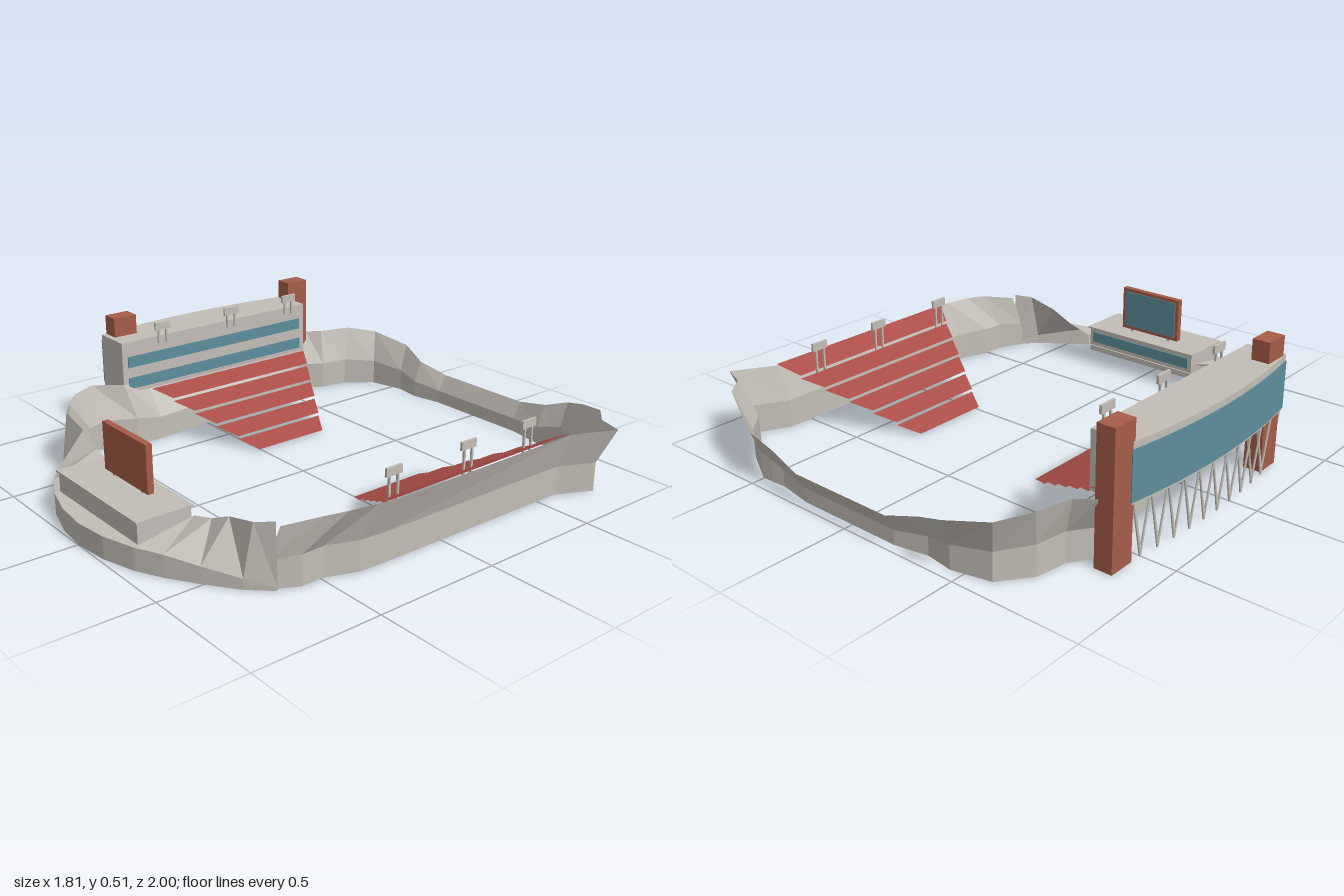
import * as THREE from 'three';

const paint = (name, color) => {
  const m = new THREE.MeshStandardMaterial({ color, side: THREE.DoubleSide });
  m.name = name;
  return m;
};

export function createModel() {
  const model = new THREE.Group();
  model.name = 'stadium';
  const concrete = paint('concrete', 0xc2bdb6);
  const brick = paint('brick', 0xa65d48);
  const glass = paint('glass', 0x5c8e9b);
  const seat = paint('seatRed', 0xab4d48);

  const add = (name, geometry, material, parent = model) => {
    const mesh = new THREE.Mesh(geometry, material);
    mesh.name = name;
    parent.add(mesh);
    return mesh;
  };
  const group = (name) => {
    const g = new THREE.Group();
    g.name = name;
    model.add(g);
    return g;
  };
  // box given by its min and max on each axis
  const box = (name, [x0, x1], [y0, y1], [z0, z1], material, parent) => {
    const mesh = add(name, new THREE.BoxGeometry(x1 - x0, y1 - y0, z1 - z0), material, parent);
    mesh.position.set((x0 + x1) / 2, (y0 + y1) / 2, (z0 + z1) / 2);
    return mesh;
  };
  // faceted open surface through a list of cross-sections
  const ribbon = (sections) => {
    const p = [];
    for (let i = 0; i + 1 < sections.length; i++) {
      const a = sections[i], b = sections[i + 1];
      for (let j = 0; j + 1 < a.length; j++) {
        p.push(...a[j], ...b[j], ...b[j + 1], ...a[j], ...b[j + 1], ...a[j + 1]);
      }
    }
    const g = new THREE.BufferGeometry();
    g.setAttribute('position', new THREE.Float32BufferAttribute(p, 3));
    g.computeVertexNormals();
    return g;
  };
  // thin round bar between two points
  const bar = (name, a, b, r, material, parent) => {
    const from = new THREE.Vector3(...a), to = new THREE.Vector3(...b);
    const dir = to.clone().sub(from);
    const mesh = add(name, new THREE.CylinderGeometry(r, r, dir.length(), 6), material, parent);
    mesh.position.copy(from).add(to).multiplyScalar(0.5);
    mesh.quaternion.setFromUnitVectors(new THREE.Vector3(0, 1, 0), dir.normalize());
    return mesh;
  };

  // bowl wall: top x, top z, top y, foot x, foot z
  const wall = [
    [0.69, 0.65, 0.23, 0.66, 0.68], [0.76, 0.53, 0.255, 0.71, 0.58],
    [0.79, 0.45, 0.26, 0.71, 0.49], [0.81, 0.34, 0.26, 0.755, 0.37],
    [0.814, 0.26, 0.255, 0.76, 0.27], [0.814, -0.61, 0.255, 0.77, -0.6],
    [0.9, -0.775, 0.26, 0.84, -0.74], [0.8, -0.81, 0.26, 0.745, -0.77],
    [0.73, -0.89, 0.26, 0.655, -0.865], [0.61, -0.945, 0.235, 0.505, -0.945],
    [0.495, -0.99, 0.2, 0.45, -0.945], [0.39, -0.98, 0.16, 0.39, -0.94],
    [0.24, -1, 0.126, 0.24, -0.965], [-0.205, -1, 0.126, -0.205, -0.965],
    [-0.34, -0.975, 0.16, -0.34, -0.94], [-0.465, -1, 0.205, -0.45, -0.955],
    [-0.635, -0.955, 0.24, -0.6, -0.92], [-0.715, -0.85, 0.26, -0.685, -0.81],
    [-0.75, -0.715, 0.26, -0.705, -0.69], [-0.805, -0.665, 0.255, -0.765, -0.6],
    [-0.77, -0.5, 0.215, -0.72, -0.5], [-0.74, 0.25, 0.215, -0.64, 0.25],
    [-0.69, 0.39, 0.255, -0.645, 0.36], [-0.76, 0.5, 0.26, -0.7, 0.49],
    [-0.72, 0.6, 0.255, -0.67, 0.57], [-0.665, 0.66, 0.245, -0.665, 0.66],
  ];
  add('bowlWall', ribbon(wall.map(([tx, tz, ty, bx, bz]) =>
    [[bx, 0, bz], [bx, ty * 0.45, bz], [tx, ty, tz]])), concrete);

  // front terrace: half-width, rim z, rim y, inner half-width, inner z, inner y
  const half = [
    [0.676, 0.66, 0.012, 0.67, 0.66, 0.245], [0.6, 0.74, 0.04, 0.61, 0.705, 0.235],
    [0.485, 0.825, 0.065, 0.48, 0.705, 0.205], [0.375, 0.895, 0.085, 0.38, 0.705, 0.16],
    [0.275, 0.945, 0.087, 0.275, 0.705, 0.13], [0.27, 0.947, 0.087, 0.27, 0.705, 0.087],
    [0.14, 0.985, 0.087, 0.14, 0.705, 0.087], [0, 1, 0.087, 0, 0.705, 0.087],
  ];
  const terrace = (s) => ([w, z, y, iw, iz, iy]) =>
    [[0.01 + s * w, 0, z], [0.01 + s * w, y, z], [0.01 + s * iw, iy, iz]];
  for (const s of [-1, 1]) {
    add(s < 0 ? 'rightTerrace' : 'leftTerrace', ribbon(half.map(terrace(s))), concrete);
  }

  // clubhouse on the terrace
  const club = group('clubhouse');
  box('clubhouseBody', [-0.257, 0.278], [0.06, 0.165], [0.712, 0.925], concrete, club);
  box('clubhouseRoof', [-0.263, 0.287], [0.165, 0.172], [0.705, 0.932], concrete, club);
  box('clubhouseWindow', [-0.24, 0.26], [0.105, 0.15], [0.707, 0.713], glass, club);

  // scoreboard
  const board = group('scoreboard');
  box('boardFrame', [-0.14, 0.148], [0.183, 0.367], [0.775, 0.8], brick, board);
  box('boardScreen', [-0.125, 0.133], [0.197, 0.353], [0.771, 0.776], glass, board);
  for (const x of [-0.09, 0.1]) {
    box('boardLeg', [x - 0.006, x + 0.006], [0.17, 0.185], [0.78, 0.794], concrete, board);
  }

  // side stands: stepped rows without risers
  const lerp = THREE.MathUtils.lerp;
  const ROWS = 6, GAP = 0.013;
  for (const [name, top, low] of [['leftStand', 0.814, 0.318], ['rightStand', -0.785, -0.27]]) {
    const stand = group(name);
    const row = (t, drop) => {
      const x = lerp(top, low, t), y = lerp(0.262, 0.006, t) - drop;
      return [[x, y, lerp(0.3, 0.01, t)], [x, y, lerp(-0.615, -0.325, t)]];
    };
    for (let i = 0; i < ROWS; i++) {
      add('seatRow', ribbon([row(i / ROWS, i ? GAP : 0), row((i + 1) / ROWS, 0)]), seat, stand);
    }
  }

  // press box with a bowed outer side
  const press = group('pressBox');
  const Z0 = -0.565, Z1 = 0.385, ZC = (Z0 + Z1) / 2, H = (Z1 - Z0) / 2;
  const bowX = (z) => -0.86 - 0.042 * (1 - ((z - ZC) / H) ** 2);
  const bow = (n, off) => Array.from({ length: n + 1 }, (_, i) => {
    const z = lerp(Z0, Z1, i / n);
    return new THREE.Vector2(bowX(z) - off, -z);
  });
  const slab = (points, y0, y1) => {
    const g = new THREE.ExtrudeGeometry(new THREE.Shape(points), { depth: y1 - y0, bevelEnabled: false });
    return g.rotateX(-Math.PI / 2).translate(0, y0, 0);
  };
  add('pressBoxBody', slab([...bow(16, 0), new THREE.Vector2(-0.7, -Z1),
    new THREE.Vector2(-0.7, -Z0)], 0.21, 0.43), concrete, press);
  add('outerWindow', slab([...bow(16, 0.004), ...bow(16, -0.002).reverse()], 0.22, 0.405), glass, press);
  for (const y of [[0.32, 0.367], [0.228, 0.275]]) {
    box('innerWindow', [-0.701, -0.696], y, [-0.54, 0.36], glass, press);
  }

  // brick towers at both ends
  for (const z of [[-0.655, -0.55], [0.258, 0.362]]) {
    box('brickTower', [-0.861, -0.79], [0, 0.51], z, brick);
  }

  // V-shaped struts under the press box
  const struts = group('pressBoxStruts');
  for (let i = 0; i < 11; i++) {
    const z = lerp(-0.5, 0.33, i / 10), x = bowX(z) + 0.012;
    for (const s of [-1, 1]) {
      bar('strut', [x, 0, z], [x, 0.212, z + s * 0.045], 0.004, concrete, struts);
    }
    bar('strutBrace', [x, 0.03, z], [x + 0.035, 0.212, z], 0.004, concrete, struts);
  }

  // floodlights
  const flood = (x, z, foot, y) => {
    const light = group('floodlight');
    box('lightPanel', [x - 0.005, x + 0.005], [y - 0.032, y], [z - 0.036, z + 0.036], concrete, light);
    for (const s of [-0.019, 0.019]) {
      box('lightLeg', [x - 0.004, x + 0.004], [foot, y - 0.03], [z + s - 0.004, z + s + 0.004], concrete, light);
    }
  };
  for (const z of [-0.475, -0.16, 0.19]) flood(-0.696, z, 0.4, 0.488);
  for (const z of [-0.46, -0.145, 0.21]) flood(0.735, z, 0.2, 0.33);

  return model;
}
